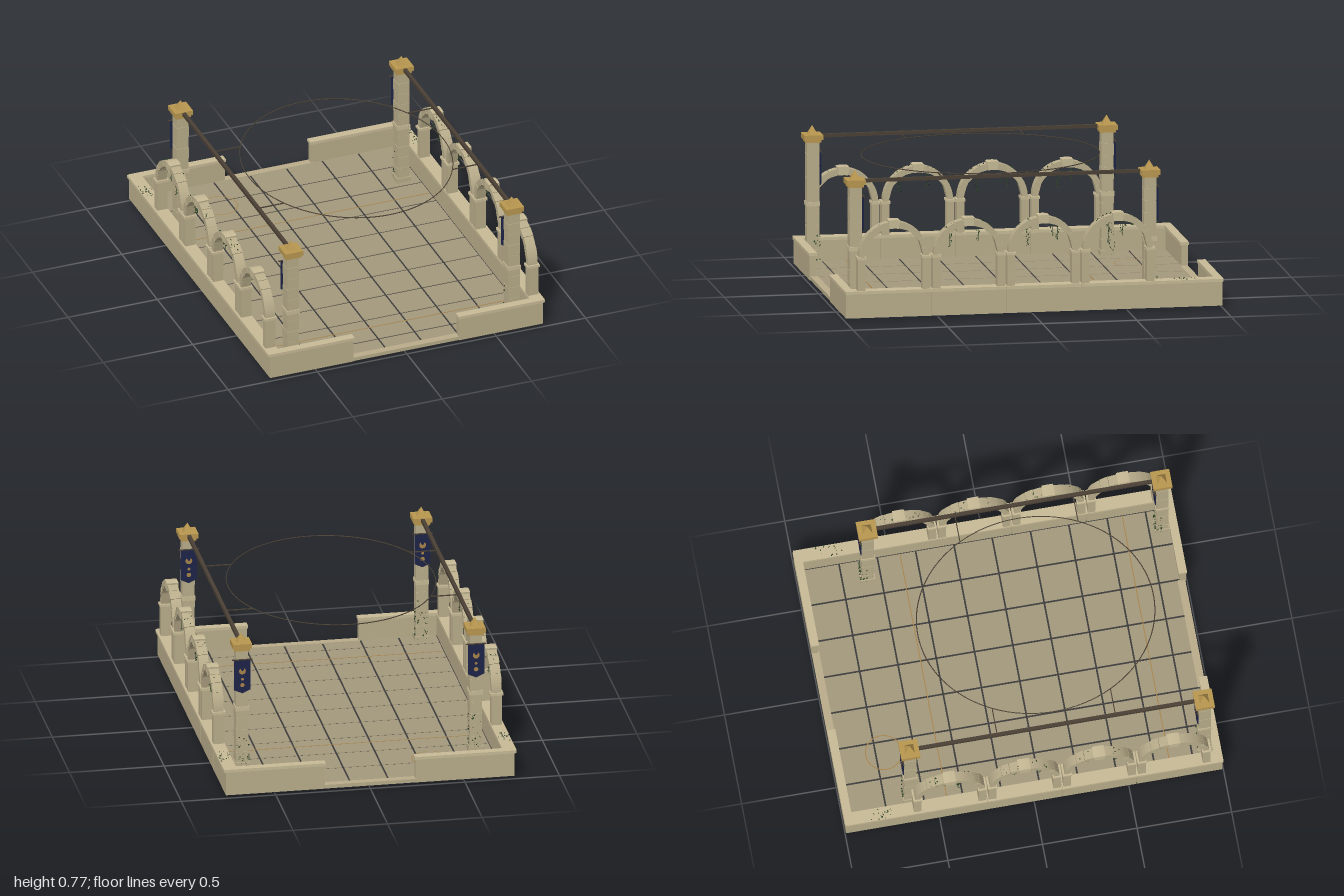
import * as THREE from 'three';
import { mergeGeometries } from 'three/addons/utils/BufferGeometryUtils.js';

const mat = (color, side = THREE.FrontSide) =>
  new THREE.MeshStandardMaterial({ color, side, flatShading: true });
const STONE = mat(0xb8ac8a), PALE = mat(0xc6b995), TILE = mat(0xa3987c), GROUT = mat(0x3c3b3c),
  BASE = mat(0x1f2430), GOLD = mat(0xb8964f), WOOD = mat(0x4a4035),
  NAVY = mat(0x1d2448, THREE.DoubleSide), LEAF = mat(0x2d4428, THREE.DoubleSide),
  TRIM = mat(0xa8834a, THREE.DoubleSide);

// Small seeded generator for the leaves
let seed = 7;
const rnd = () => (seed = (seed * 16807) % 2147483647) / 2147483647;
const jitter = (a) => (rnd() - 0.5) * 2 * a;

const boxGeo = (w, h, d, x, y, z) => new THREE.BoxGeometry(w, h, d).translate(x, y, z);

function add(parent, name, geo, material) {
  const mesh = new THREE.Mesh(Array.isArray(geo) ? mergeGeometries(geo) : geo, material);
  mesh.name = name;
  parent.add(mesh);
  return mesh;
}

function part(parent, name, x = 0, y = 0, z = 0) {
  const g = new THREE.Group();
  g.name = name;
  g.position.set(x, y, z);
  parent.add(g);
  return g;
}

// One diamond leaf, randomly turned
function leaf(x, y, z, size = 0.006) {
  const g = new THREE.CircleGeometry(size * (0.7 + 0.6 * rnd()), 4);
  g.scale(0.7, 1, 1).rotateX(jitter(1.2)).rotateY(jitter(1.5)).rotateZ(jitter(1));
  return g.translate(x, y, z);
}

// Hanging strand: thin stem with leaves down its length
function strand(x, top, z, length) {
  const geos = [boxGeo(0.002, length, 0.002, x, top - length / 2, z)];
  for (let t = 0; t < length; t += 0.007)
    geos.push(leaf(x + jitter(0.006), top - t, z + jitter(0.009)));
  return geos;
}

function buildFloor(root) {
  const floor = part(root, 'floor');
  add(floor, 'base', boxGeo(1.42, 0.016, 1.93, 0, 0.008, 0), BASE);
  add(floor, 'grout', boxGeo(1.42, 0.015, 1.95, 0, 0.0225, 0), GROUT);
  const tiles = [];
  const rows = [-0.97];
  for (let i = 0; i < 9; i++) rows.push(-0.767 + i * 0.2025);
  rows.push(0.97);
  for (let c = 0; c < 7; c++)
    for (let r = 0; r < 10; r++)
      tiles.push(boxGeo(0.192, 0.016, rows[r + 1] - rows[r] - 0.009,
        (c - 3) * 0.202, 0.025, (rows[r] + rows[r + 1]) / 2));
  add(floor, 'tiles', tiles, TILE);
  // Thresholds in the two gateways
  add(floor, 'frontThreshold', boxGeo(0.6, 0.02, 0.04, 0, 0.025, 0.97), STONE);
  add(floor, 'backThreshold', boxGeo(0.5, 0.02, 0.04, 0, 0.025, -0.975), STONE);
  // Gilded floor inlays
  for (const z of [-0.445, 0.73])
    add(floor, 'inlayLine', boxGeo(1.4, 0.002, 0.005, 0, 0.033, z), TRIM);
  add(floor, 'inlayCircle',
    new THREE.RingGeometry(0.092, 0.097, 48).rotateX(-Math.PI / 2).translate(-0.365, 0.0345, -0.725), TRIM);
}

function buildWalls(root) {
  const walls = part(root, 'walls');
  for (const s of [-1, 1]) {
    // Side wall in blocks with narrow joints
    const body = [], cope = [];
    const cuts = [-0.995, -0.642, -0.248, 0.147, 0.542, 0.995];
    for (let i = 0; i < 5; i++) {
      const len = cuts[i + 1] - cuts[i], mid = (cuts[i + 1] + cuts[i]) / 2;
      body.push(boxGeo(0.056, 0.13, len - 0.002, s * 0.735, 0.08, mid));
      cope.push(boxGeo(0.07, 0.016, len + (i % 4 ? -0.002 : 0.004), s * 0.739, 0.151, mid));
    }
    add(walls, 'sideWall', body, STONE);
    add(walls, 'sideCoping', cope, PALE);
    // End walls either side of the gateways
    for (const [z, inner] of [[0.977, 0.295], [-0.979, 0.24]]) {
      const w = 0.762 - inner;
      add(walls, 'endWall', boxGeo(w, 0.13, 0.034, s * (inner + w / 2), 0.08, z), STONE);
      add(walls, 'endCoping', boxGeo(w + 0.008, 0.016, 0.044, s * (inner + w / 2), 0.151, z), PALE);
    }
  }
}

// Wedge-shaped stone swept through an angle, extruded across the wall
function voussoir(r0, r1, a0, a1, depth) {
  const s = new THREE.Shape();
  s.absarc(0, 0, r1, a0, a1, false);
  s.absarc(0, 0, r0, a1, a0, true);
  return new THREE.ExtrudeGeometry(s, { depth, bevelEnabled: false, curveSegments: 3 })
    .translate(0, 0, -depth / 2).rotateY(Math.PI / 2);
}

function buildArch(root, x, z) {
  const arch = part(root, 'arch', x, 0, z);
  const stones = [], n = 11;
  for (let i = 0; i < n; i++) {
    if (i === 5) continue;
    const a = (i * Math.PI) / n;
    stones.push(voussoir(0.154, 0.185, a + 0.006, a + Math.PI / n - 0.006, i % 2 ? 0.056 : 0.053));
  }
  // Mortar core fills the joints
  stones.push(voussoir(0.156, 0.183, 0, Math.PI, 0.05));
  add(arch, 'archStones', stones, STONE).position.y = 0.334;
  add(arch, 'keystone', voussoir(0.15, 0.195, Math.PI / 2 - 0.16, Math.PI / 2 + 0.16, 0.062), PALE)
    .position.y = 0.334;
  for (const s of [-1, 1]) {
    add(arch, 'pier', boxGeo(0.056, 0.168, 0.04, 0, 0.242, s * 0.171), STONE);
    add(arch, 'pierCapital', boxGeo(0.07, 0.014, 0.048, 0, 0.33, s * 0.171), PALE);
  }
}

function buildBanner(pillar) {
  const banner = part(pillar, 'banner', 0, 0, -0.041);
  // Cloth with a pointed hem
  const cloth = new THREE.Shape([[-0.043, 0.635], [-0.043, 0.47], [0, 0.45], [0.043, 0.47], [0.043, 0.635]]
    .map(([x, y]) => new THREE.Vector2(x, y)));
  add(banner, 'cloth', new THREE.ExtrudeGeometry(cloth, { depth: 0.004, bevelEnabled: false }), NAVY);
  add(banner, 'bannerRod',
    new THREE.CylinderGeometry(0.004, 0.004, 0.108, 8).rotateZ(Math.PI / 2).translate(0, 0.638, 0.001), WOOD);
  // Crescent above, round studs below
  const moon = new THREE.Shape();
  moon.absarc(0, 0, 0.018, 0.6, Math.PI * 2 - 0.6, false);
  moon.quadraticCurveTo(-0.014, 0, 0.0149, 0.0102);
  add(banner, 'crescent', new THREE.ShapeGeometry(moon).rotateZ(Math.PI / 2).translate(0, 0.575, -0.002), TRIM);
  add(banner, 'studs', [[0, 0.53, 0.008], [0, 0.497, 0.012]].map(([x, y, r]) =>
    new THREE.CircleGeometry(r, 12).translate(x, y, -0.002)), TRIM);
}

function buildPillar(root, x, z) {
  const pillar = part(root, 'pillar', x, 0, z);
  // Stacked courses
  const courses = [], n = 10, y0 = 0.055, h = (0.69 - y0) / n;
  for (let i = 0; i < n; i++) {
    const w = i % 2 ? 0.064 : 0.066;
    courses.push(boxGeo(w, h - 0.002, w, 0, y0 + h * (i + 0.5), 0));
  }
  courses.push(boxGeo(0.061, 0.63, 0.061, 0, 0.37, 0));
  add(pillar, 'shaft', courses, STONE);
  add(pillar, 'plinth', boxGeo(0.078, 0.03, 0.078, 0, 0.045, 0), STONE);
  add(pillar, 'band', boxGeo(0.072, 0.022, 0.072, 0, 0.36, 0), PALE);
  add(pillar, 'neck', boxGeo(0.083, 0.016, 0.083, 0, 0.694, 0), GOLD);
  add(pillar, 'cap', boxGeo(0.1, 0.026, 0.1, 0, 0.714, 0), GOLD);
  add(pillar, 'finial',
    new THREE.ConeGeometry(0.036, 0.048, 4).rotateY(Math.PI / 4).translate(0, 0.75, 0), GOLD);
  buildBanner(pillar);
  // Ivy climbing the back and inner faces
  const ivy = [], inward = -Math.sign(x);
  for (let i = 0; i < 26; i++) {
    const y = 0.04 + 0.27 * rnd() * rnd();
    ivy.push(leaf(jitter(0.03), y, -0.037));
    if (i % 2) ivy.push(leaf(inward * 0.037, y, -0.03 + 0.025 * rnd()));
  }
  add(pillar, 'pillarIvy', ivy, LEAF);
}

export function createModel() {
  const root = new THREE.Group();
  root.name = 'courtyard';
  buildFloor(root);
  buildWalls(root);

  for (const s of [-1, 1]) {
    for (let i = 0; i < 4; i++) buildArch(root, s * 0.735, 0.74 - i * 0.395);
    for (const z of [0.922, -0.635]) buildPillar(root, s * 0.618, z);

    // Beam between pillars and the arms holding the ring
    add(root, 'beam', boxGeo(0.018, 0.018, 1.5, s * 0.618, 0.716, 0.143), WOOD);
    for (const z of [-0.17, 0.455])
      add(root, 'ringArm', boxGeo(0.145, 0.005, 0.005, s * 0.543, 0.714, z), WOOD);

    // Vines under the arches, scattered leaves on copings and arch tops
    const vines = [];
    for (const [z, top, len] of [[0.44, 0.48, 0.11], [0.29, 0.49, 0.09], [0.03, 0.47, 0.11],
      [-0.1, 0.49, 0.08], [-0.13, 0.48, 0.09], [-0.4, 0.48, 0.12], [-0.47, 0.49, 0.09]])
      vines.push(...strand(s * 0.735, top, z, len));
    for (let i = 0; i < 18; i++)
      vines.push(leaf(s * (0.74 + jitter(0.03)), 0.162, -0.81 + jitter(0.07)));
    for (let i = 0; i < 36; i++) {
      const a = Math.PI / 2 + jitter(0.7), c = 0.345 - (i % 3) * 0.395;
      vines.push(leaf(s * (0.735 + jitter(0.026)), 0.334 + 0.187 * Math.sin(a), c + 0.187 * Math.cos(a)));
    }
    add(root, 'vines', vines, LEAF);
  }

  // Suspended oval ring
  const ring = add(root, 'hangingRing', new THREE.TorusGeometry(1, 0.0045, 6, 96).rotateX(Math.PI / 2), WOOD);
  ring.scale.set(0.543, 0.6, 0.623);
  ring.position.set(0, 0.714, 0.145);
  return root;
}
